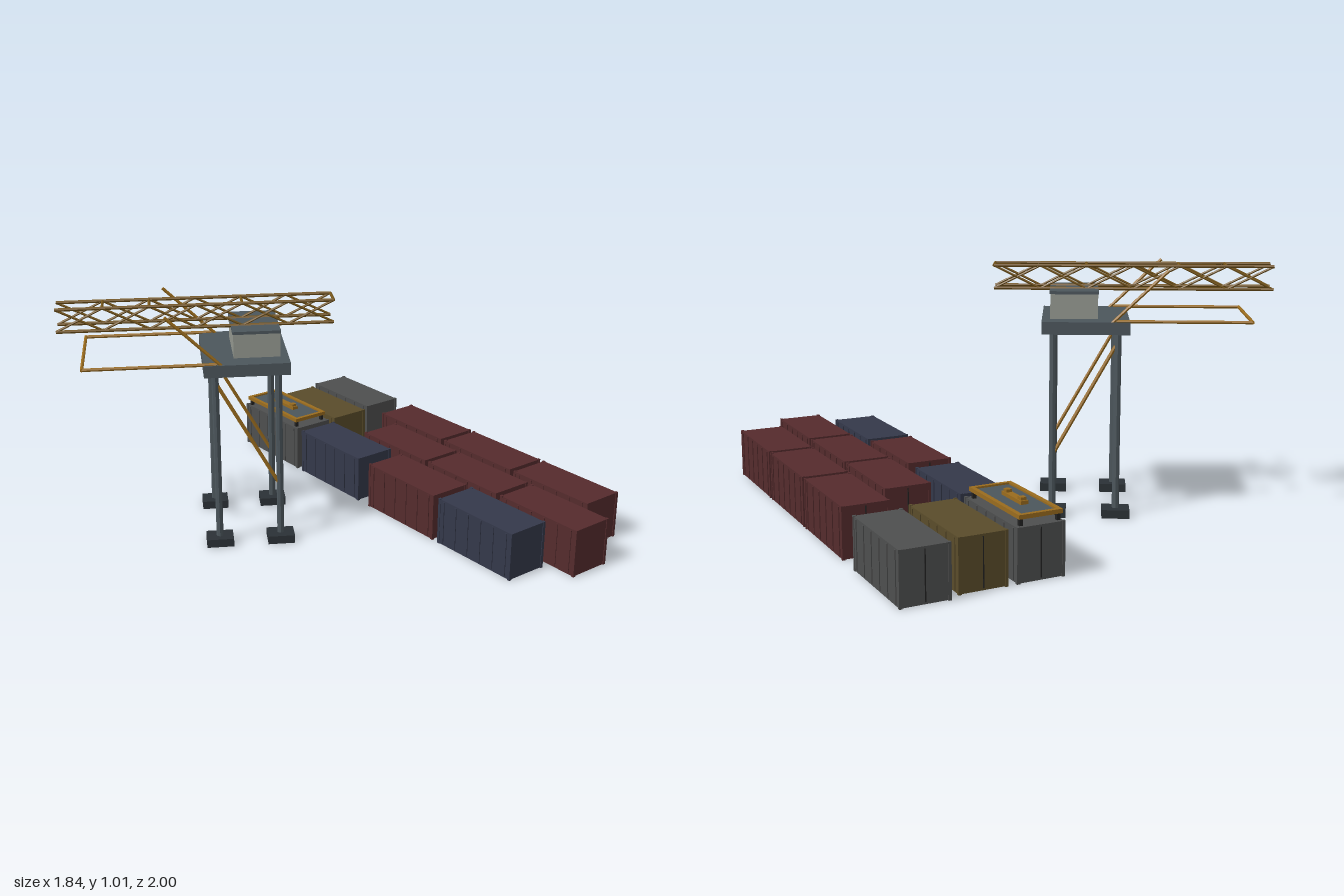
import * as THREE from 'three';

const mat = (color) => new THREE.MeshStandardMaterial({ color, flatShading: true });
const steel = mat(0x4c565c), darkSteel = mat(0x2b3136), wall = mat(0x949890);
const gold = mat(0x9a6c1e), truss = mat(0x75551a), dark = mat(0x222222);
const red = mat(0x552b2d), navy = mat(0x34384a), olive = mat(0x5a4c2a), grey = mat(0x4e4f4f);

function box(parent, name, material, w, h, d, x, y, z) {
  const m = new THREE.Mesh(new THREE.BoxGeometry(w, h, d), material);
  m.name = name;
  m.position.set(x, y, z);
  parent.add(m);
  return m;
}

// Straight bar between two points; 4 sides make a square section
function bar(parent, name, material, a, b, radius, sides = 6) {
  const p = new THREE.Vector3(...a), q = new THREE.Vector3(...b);
  const m = new THREE.Mesh(new THREE.CylinderGeometry(radius, radius, p.distanceTo(q), sides), material);
  m.name = name;
  m.position.copy(p).add(q).multiplyScalar(0.5);
  m.quaternion.setFromUnitVectors(new THREE.Vector3(0, 1, 0), q.sub(p).normalize());
  parent.add(m);
  return m;
}

// Ribbed shipping container
function container(parent, material, x, z) {
  const g = new THREE.Group();
  g.name = 'container';
  g.position.set(x, 0, z);
  const W = 0.186, H = 0.205, L = 0.424;
  box(g, 'containerBody', material, W, H - 0.004, L - 0.006, 0, H / 2, 0);
  for (const s of [-1, 1]) {
    for (let i = 0; i < 6; i++)
      box(g, 'sideRib', material, 0.007, H - 0.016, 0.009, s * W / 2, H / 2, -0.18 + i * 0.072);
    for (const e of [-1, 1])
      box(g, 'cornerPost', material, 0.012, H, 0.012, s * (W / 2 - 0.004), H / 2, e * (L / 2 - 0.006));
  }
  box(g, 'doorSeam', dark, 0.004, H - 0.02, 0.003, 0, H / 2, -L / 2 + 0.002);
  parent.add(g);
}

// Lifting frame resting on one container
function spreader(parent, x, y, z) {
  const g = new THREE.Group();
  g.name = 'spreader';
  g.position.set(x, y, z);
  for (const s of [-1, 1]) {
    box(g, 'frameSide', gold, 0.017, 0.016, 0.394, s * 0.078, 0.033, 0);
    box(g, 'frameEnd', gold, 0.173, 0.016, 0.017, 0, 0.033, s * 0.19);
    box(g, 'liftLug', gold, 0.022, 0.012, 0.024, 0, 0.053, s * 0.056);
    for (const e of [-1, 1])
      box(g, 'twistLock', dark, 0.014, 0.028, 0.014, s * 0.074, 0.013, e * 0.184);
  }
  box(g, 'framePlate', steel, 0.14, 0.008, 0.365, 0, 0.03, 0);
  box(g, 'centreBeam', gold, 0.03, 0.014, 0.15, 0, 0.041, 0);
  parent.add(g);
}

// Crane: local -x points toward the boom tip
function crane() {
  const g = new THREE.Group();
  g.name = 'crane';
  g.position.set(-0.242, 0, -0.219);
  g.rotation.y = -Math.PI / 6;

  box(g, 'platform', steel, 0.348, 0.05, 0.457, 0, 0.772, 0);
  box(g, 'cabin', wall, 0.19, 0.1, 0.285, 0.046, 0.847, 0);
  box(g, 'cabinRoof', steel, 0.196, 0.012, 0.291, 0.046, 0.902, 0);

  for (const s of [-1, 1]) {
    for (const e of [-1, 1]) {
      bar(g, 'leg', steel, [e * 0.128, 0.03, s * 0.19], [e * 0.128, 0.75, s * 0.173], 0.0145, 8);
      box(g, 'foot', darkSteel, 0.112, 0.035, 0.09, e * 0.128, 0.0175, s * 0.19);
    }
    bar(g, 'legBrace', gold, [-0.128, 0.71, s * 0.174], [0.128, 0.25, s * 0.185], 0.008);
    // Outrigger frame and its free stays
    bar(g, 'outriggerArm', gold, [-0.65, 0.799, s * 0.217], [-0.12, 0.799, s * 0.217], 0.007);
    bar(g, 'stay', gold, [-0.1, 0.79, s * 0.217], [-0.32, 1.0, s * 0.217], 0.007);
  }
  bar(g, 'outriggerEnd', gold, [-0.65, 0.799, -0.222], [-0.65, 0.799, 0.222], 0.007);

  // Lattice boom
  const boom = new THREE.Group();
  boom.name = 'boom';
  const x0 = -0.75, x1 = 0.37, yLow = 0.908, yTop = 1.0, n = 6, step = (x1 - x0) / n;
  for (const s of [-1, 1]) {
    const z = s * 0.053;
    for (const y of [yLow, yTop]) bar(boom, 'chord', truss, [x0, y, z], [x1, y, z], 0.007);
    for (let i = 0; i < n; i++) {
      const a = x0 + i * step;
      bar(boom, 'lattice', truss, [a, yLow, z], [a + step, yTop, z], 0.005);
      bar(boom, 'lattice', truss, [a, yTop, z], [a + step, yLow, z], 0.005);
    }
  }
  for (const x of [x0 + step, x0 + 2 * step, x0 + 4 * step, x1])
    bar(boom, 'crossBar', truss, [x, yTop, -0.055], [x, yTop, 0.055], 0.006);
  g.add(boom);
  return g;
}

export function createModel() {
  const model = new THREE.Group();
  model.name = 'containerYard';
  model.add(crane());

  // Container columns: x, then [z, material] from back to front
  const columns = [
    [0.369, [[-0.758, grey], [-0.3, navy], [0.196, red], [0.65, navy]]],
    [0.592, [[-0.758, olive], [-0.105, red], [0.338, red], [0.785, red]]],
    [0.819, [[-0.786, grey], [-0.248, red], [0.196, red], [0.64, red]]],
  ];
  for (const [x, row] of columns) for (const [z, m] of row) container(model, m, x, z);
  spreader(model, 0.365, 0.204, -0.761);
  return model;
}
